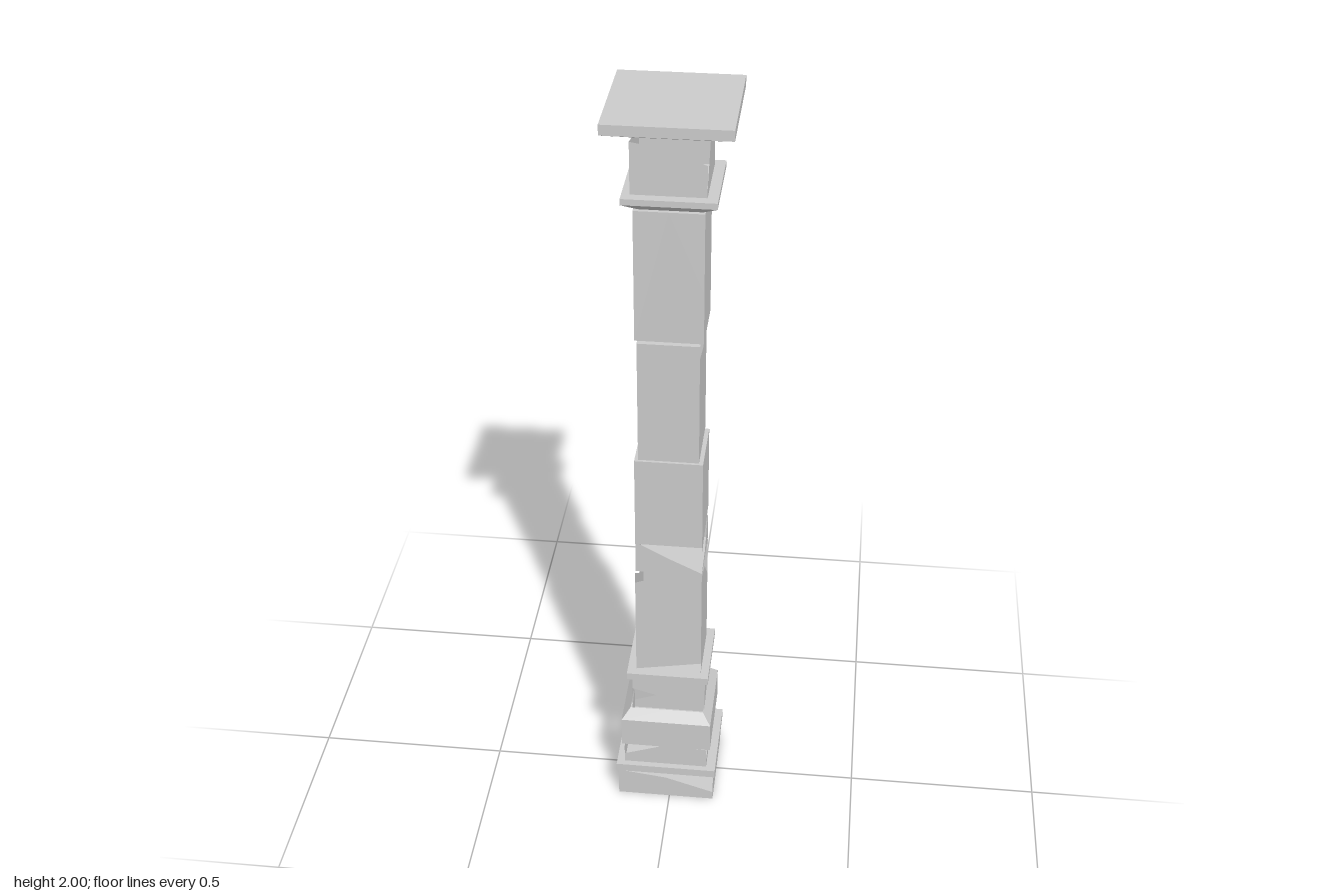
import * as THREE from 'three';

const stone = new THREE.MeshStandardMaterial({ color: 0xcccccc, flatShading: true, side: THREE.DoubleSide });
const SIDES = ['front', 'left', 'back', 'right'];

// Flat polygon from (u, v) points, carried into space by a mapping rule
function panel(name, points, map) {
  const geo = new THREE.ShapeGeometry(new THREE.Shape(points.map(p => new THREE.Vector2(...p))));
  const pos = geo.attributes.position;
  for (let i = 0; i < pos.count; i++) pos.setXYZ(i, ...map(pos.getX(i), pos.getY(i)));
  geo.computeVertexNormals();
  const mesh = new THREE.Mesh(geo, stone);
  mesh.name = name;
  return mesh;
}

// Square block: centre x, half width, half depth; inset narrows its foot or head
function block(name, y0, y1, cx, hx, hz, foot = 0, head = 0) {
  const group = new THREE.Group();
  group.name = name;
  const at = (a, b, v) => {
    const inset = foot + (head - foot) * v;
    return [cx + a * (hx - inset), y0 + (y1 - y0) * v, b * (hz - inset)];
  };
  group.userData.at = at;
  return group;
}

// Walls are whole unless chipped. A chip lists heights from 0 to 1:
// bottom left, bottom right, top right, top middle, top left, seen from outside.
function addWalls(group, chips = {}) {
  const { at } = group.userData;
  const corners = [[-1, 1], [1, 1], [1, -1], [-1, -1]];
  SIDES.forEach((side, k) => {
    const a = corners[k], b = corners[(k + 1) % 4];
    const [bl, br, tr, tm, tl] = chips[side] || [0, 0, 1, 1, 1];
    const outline = [[0, bl], [1, br], [1, tr], [0.5, tm], [0, tl]];
    group.add(panel(side + 'Wall', outline,
      (u, v) => at(a[0] + (b[0] - a[0]) * u, a[1] + (b[1] - a[1]) * u, v)));
  });
  return group;
}

function addCaps(group, bottom = true, top = true) {
  const { at } = group.userData;
  const square = [[-1, -1], [1, -1], [1, 1], [-1, 1]];
  if (bottom) group.add(panel('underside', square, (u, v) => at(u, v, 0)));
  if (top) group.add(panel('topFace', square, (u, v) => at(u, -v, 1)));
  return group;
}

export function createModel() {
  const model = new THREE.Group();
  model.name = 'ruinedColumn';
  const solid = (...args) => model.add(addCaps(addWalls(block(...args))));

  // Broken plinth and its ledge
  const plinth = block('plinth', 0, 0.083, -0.01, 0.13, 0.122);
  addWalls(plinth, { front: [0, 0, 0.3, 0.8, 1], left: [0, 0, 1, 1, 0.7], right: [0, 0, 0.5, 0.7, 0.9] });
  model.add(addCaps(plinth, true, false));
  solid('plinthLedge', 0.085, 0.108, -0.01, 0.135, 0.126);

  // Lower base with cracked walls
  model.add(addWalls(block('lowerBase', 0.108, 0.175, -0.012, 0.112, 0.11), {
    front: [0, 0, 0.9, 1, 0.4],
    left: [0, 0, 0.9, 0.5, 0.4],
    back: [0, 0, 0.4, 1, 0.9],
    right: [0, 0, 0.8, 0.5, 1],
  }));

  // Swelling base block with a bevelled shoulder
  model.add(addWalls(block('baseBlock', 0.175, 0.262, -0.01, 0.12, 0.115)));
  model.add(addWalls(block('baseShoulder', 0.262, 0.29, -0.01, 0.12, 0.115, 0, 0.022)));

  // Shattered neck hanging under its ledge
  model.add(addWalls(block('baseNeck', 0.29, 0.4, -0.005, 0.097, 0.09), {
    front: [0.6, 0.1, 1, 0.85, 1],
    left: [0.15, 0.9, 1, 1, 1],
    back: [0.7, 0.4, 1, 1, 1],
    right: [0.75, 0.4, 1, 1, 1],
  }));
  solid('baseLedge', 0.4, 0.42, -0.007, 0.108, 0.105);

  // Shaft blocks, chipped along their edges
  const shaft = (name, y0, y1, cx, hx, chips) => {
    const group = addWalls(block(name, y0, y1, cx, hx, 0.082), chips);
    model.add(group);
    return group;
  };
  addCaps(shaft('shaftBlock1', 0.42, 0.742, -0.006, 0.086, {
    front: [0, 0.1, 0.97, 1, 0.9],
    left: [0, 0, 0.65, 0.92, 1],
    back: [0, 0, 0.85, 0.75, 1],
    right: [0, 0, 1, 0.8, 0.9],
  }), true, false);

  // The second block is split by a slanting break above its foot
  addCaps(shaft('shaftFoot', 0.748, 0.84, -0.005, 0.085, {
    front: [0, 0, 0.05, 0.5, 1],
    left: [0, 0, 0.95, 0.2, 0.05],
    back: [0, 0, 0.05, 0.3, 0.8],
    right: [0, 0, 0.9, 0.3, 0.05],
  }), true, false);
  addCaps(shaft('shaftBlock2', 0.79, 1.088, -0.005, 0.085, {
    front: [0.15, 0.15, 1, 1, 1],
    left: [0.1, 0.2, 1, 1, 1],
    back: [0.2, 0, 1, 1, 1],
    right: [0, 0.2, 1, 1, 1],
  }), false);

  addCaps(shaft('shaftBlock3', 1.093, 1.422, -0.005, 0.075, {
    left: [0, 0, 1, 0.85, 0.9],
    back: [0, 0, 0.45, 1, 1],
  }));
  addCaps(shaft('shaftBlock4', 1.43, 1.765, -0.003, 0.082, {
    front: [0, 0, 0.4, 1, 1],
    right: [0, 0, 1, 1, 0.6],
  }));

  // Capital ring: flared underside with a thin slab above
  solid('capitalFlare', 1.768, 1.793, 0, 0.109, 0.113, 0.035);
  solid('capitalSlab', 1.793, 1.808, 0, 0.109, 0.113);

  // Capital neck with missing corners
  model.add(addWalls(block('capitalNeck', 1.808, 1.948, -0.003, 0.087, 0.088), {
    front: [0, 0, 0.55, 0.8, 0.9],
    left: [0, 0, 1, 1, 0.15],
    back: [0, 0, 0.92, 0.85, 1],
    right: [0, 0, 0.9, 0.75, 0.95],
  }));

  // Abacus: flared underside and square top slab
  solid('abacusFlare', 1.945, 1.975, 0, 0.147, 0.154, 0.065);
  solid('abacus', 1.975, 2, 0, 0.147, 0.154);

  // The building rule is only needed while walls and caps are added
  model.children.forEach(part => delete part.userData.at);
  return model;
}
